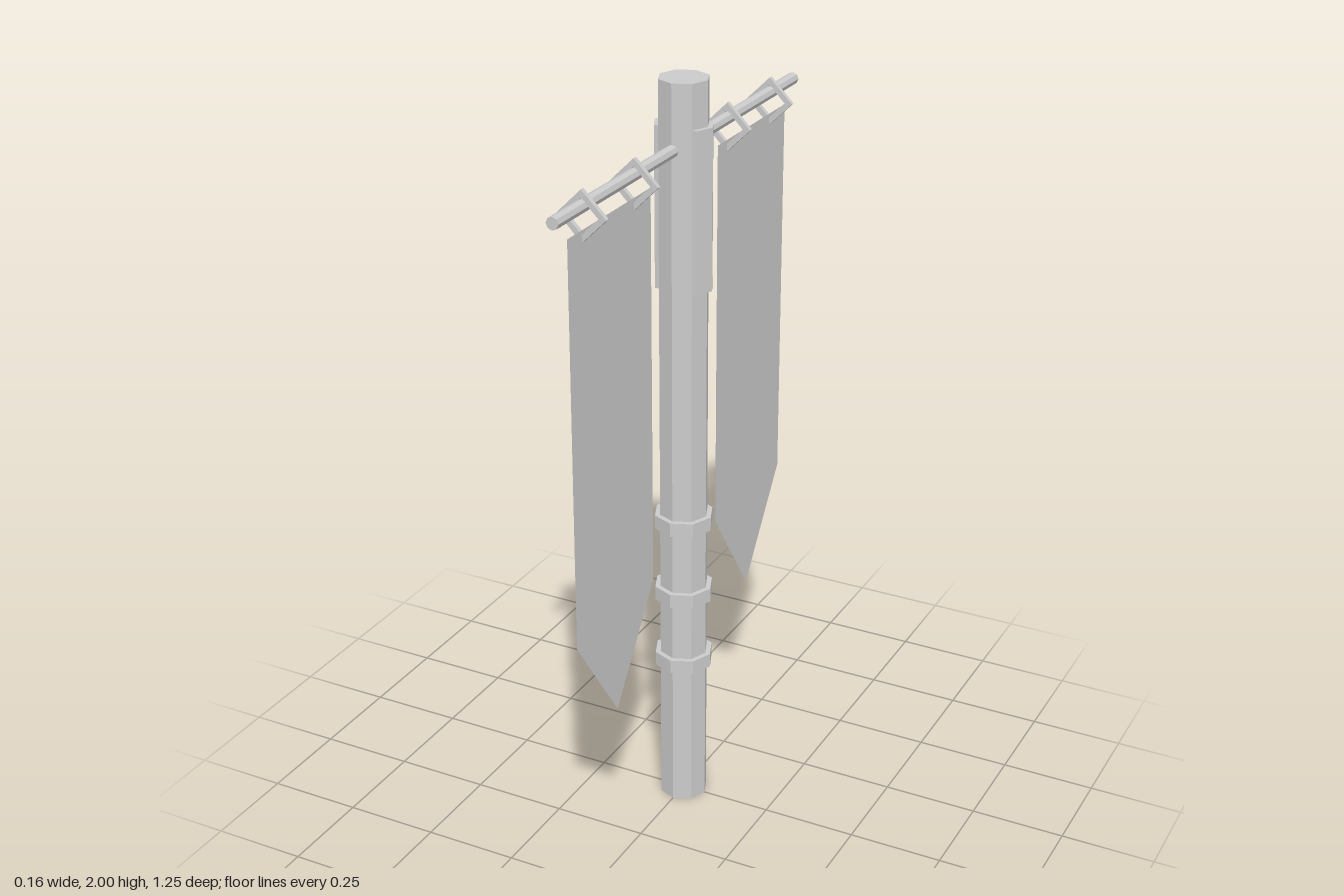
import * as THREE from 'three';

const POLE_R = 0.064, BAND_R = 0.078, ROD_Y = 1.835;

const material = new THREE.MeshStandardMaterial({ color: 0xcccccc, flatShading: true });
const openMaterial = new THREE.MeshStandardMaterial({ color: 0xcccccc, flatShading: true, side: THREE.DoubleSide });

// Regular polygon with a corner on each axis
function polygon(radius, sides) {
  const points = [];
  for (let i = 0; i < sides; i++) {
    const a = (i / sides) * Math.PI * 2;
    points.push(new THREE.Vector2(Math.cos(a) * radius, Math.sin(a) * radius));
  }
  return points;
}

function frame(outer, inner, sides, depth) {
  const shape = new THREE.Shape(polygon(outer, sides));
  shape.holes.push(new THREE.Path(polygon(inner, sides)));
  return new THREE.ExtrudeGeometry(shape, { depth, bevelEnabled: false });
}

export function createModel() {
  const model = new THREE.Group();
  model.name = 'bannerPole';

  function add(name, geometry, mat = material) {
    const mesh = new THREE.Mesh(geometry, mat);
    mesh.name = name;
    model.add(mesh);
    return mesh;
  }

  // Eight-sided pole, open underneath, closed on top
  add('pole', new THREE.CylinderGeometry(POLE_R, POLE_R, 2, 8, 1, true).translate(0, 1, 0), openMaterial);
  add('poleTop', new THREE.CircleGeometry(POLE_R, 8).rotateX(-Math.PI / 2).translate(0, 2, 0));

  // Three bands around the lower pole
  for (const y of [0.404, 0.602, 0.811]) {
    add('band', frame(BAND_R, POLE_R - 0.001, 8, 0.038).rotateX(-Math.PI / 2)).position.y = y;
  }

  // Raised plates on the two sides of the upper pole
  const plate = new THREE.Shape([
    new THREE.Vector2(0.044, -0.044), new THREE.Vector2(0.057, -0.044),
    new THREE.Vector2(BAND_R, 0), new THREE.Vector2(0.057, 0.044),
    new THREE.Vector2(0.044, 0.044), new THREE.Vector2(0.062, 0),
  ]);
  for (const [name, turn] of [['leftPlate', 0], ['rightPlate', Math.PI]]) {
    const geometry = new THREE.ExtrudeGeometry(plate, { depth: 0.415, bevelEnabled: false });
    const mesh = add(name, geometry.rotateX(-Math.PI / 2));
    mesh.position.y = 1.472;
    mesh.rotation.y = turn;
  }

  // Crossbar through the pole
  add('crossbar', new THREE.CylinderGeometry(0.016, 0.016, 1.25, 8).rotateX(Math.PI / 2)).position.y = ROD_Y;

  // Square hangers turned on their corners
  for (const z of [0.491, 0.246, -0.241, -0.487]) {
    add('hanger', frame(0.063, 0.043, 4, 0.012)).position.set(0, 1.811, z - 0.006);
  }

  // Pointed cloth banners, one on each arm
  for (const [name, z] of [['frontBanner', 0.366], ['backBanner', -0.38]]) {
    const cloth = new THREE.Shape([
      new THREE.Vector2(-0.196, 1.778), new THREE.Vector2(-0.196, 0.733),
      new THREE.Vector2(0, 0.455), new THREE.Vector2(0.196, 0.733),
      new THREE.Vector2(0.196, 1.778),
    ]);
    add(name, new THREE.ShapeGeometry(cloth).rotateY(Math.PI / 2), openMaterial).position.z = z;
  }

  return model;
}
